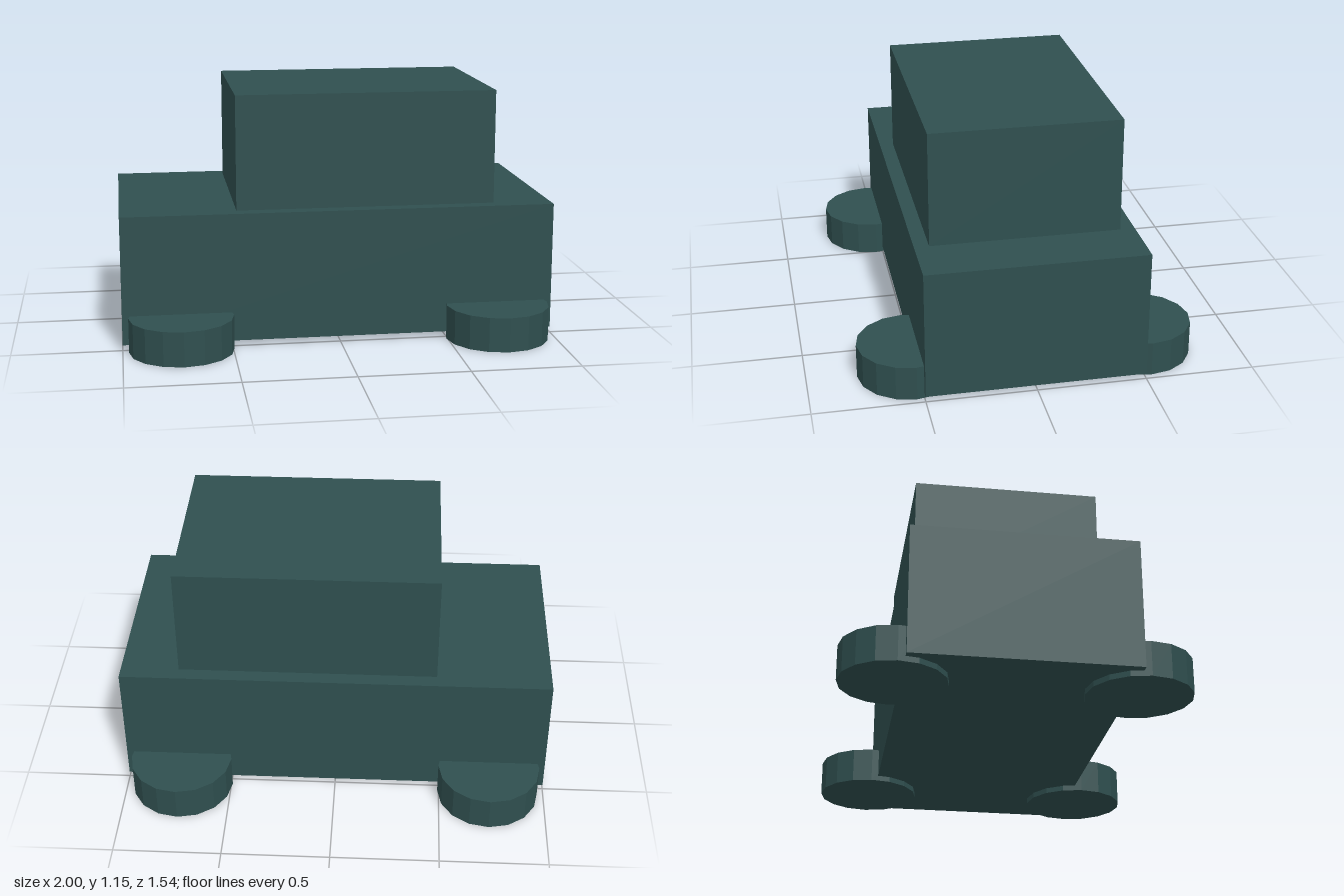
import * as THREE from 'three';

export function createModel() {
  const model = new THREE.Group();
  model.name = 'car';
  const paint = new THREE.MeshStandardMaterial({ color: 0x2f4f4f, flatShading: true });

  const add = (name, geometry, x, y, z) => {
    const mesh = new THREE.Mesh(geometry, paint);
    mesh.name = name;
    mesh.position.set(x, y, z);
    model.add(mesh);
  };

  // Body and the cabin standing off-centre on it
  add('body', new THREE.BoxGeometry(2, 0.595, 1), 0, 0.3225, 0);
  add('cabin', new THREE.BoxGeometry(1.2, 0.528, 0.865), 0.13, 0.884, 0);

  // Four flat-lying wheels, half sunk into the body
  const wheel = new THREE.CylinderGeometry(0.239, 0.239, 0.16, 16);
  for (const [side, x] of [['Left', 0.733], ['Right', -0.733]]) {
    for (const [end, z] of [['front', 0.533], ['back', -0.533]]) {
      add(`${end}${side}Wheel`, wheel, x, 0.08, z);
    }
  }
  return model;
}
